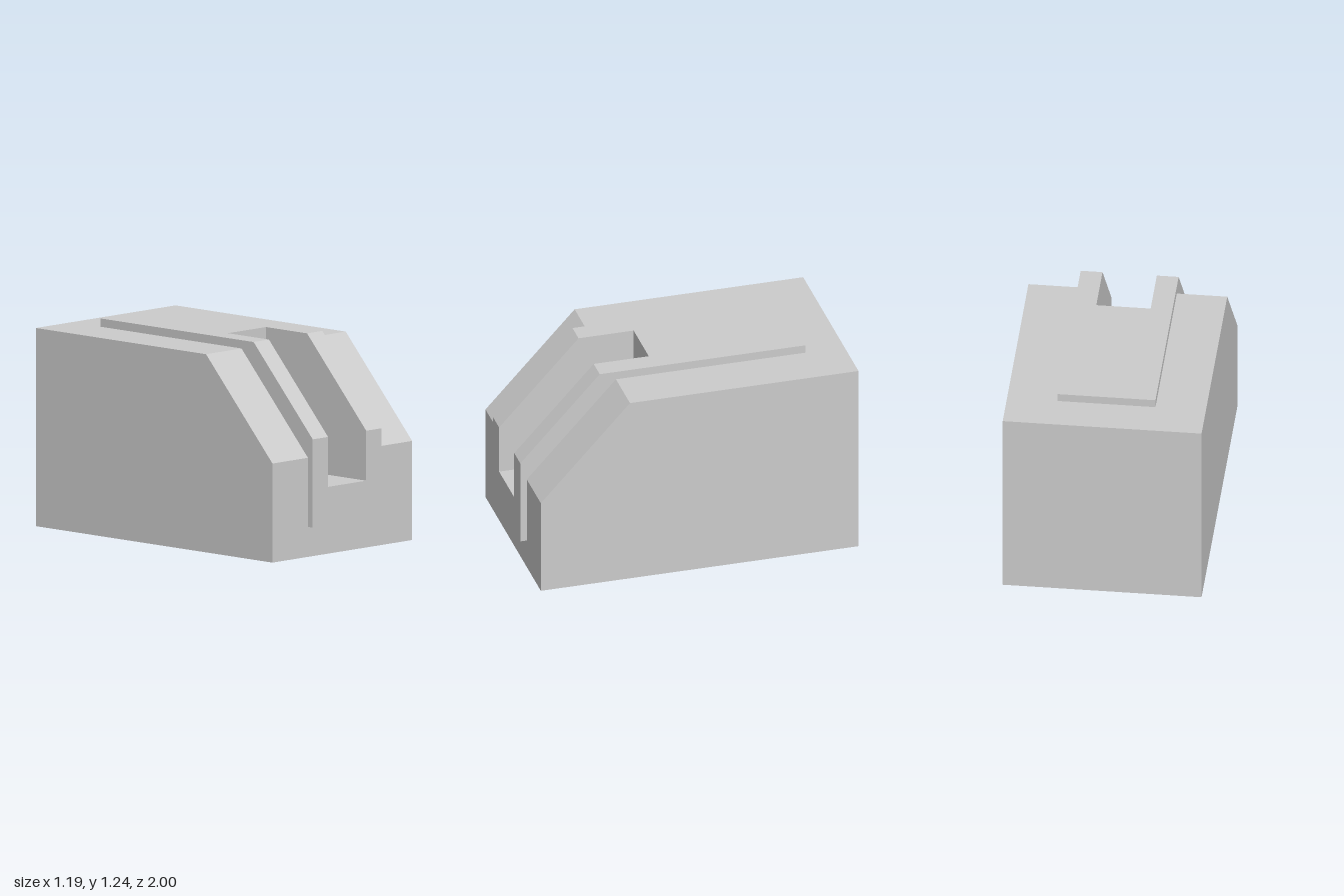
import * as THREE from 'three';

const material = new THREE.MeshStandardMaterial({ color: 0xcccccc, flatShading: true });

// Extrudes a side profile of [z, y] points across x, from x0 to x1
function slab(name, profile, x0, x1) {
  const shape = new THREE.Shape(profile.map(([z, y]) => new THREE.Vector2(-z, y)));
  const geometry = new THREE.ExtrudeGeometry(shape, { depth: x1 - x0, bevelEnabled: false });
  geometry.rotateY(Math.PI / 2).translate(x0, 0, 0);
  const mesh = new THREE.Mesh(geometry, material);
  mesh.name = name;
  return mesh;
}

export function createModel() {
  const model = new THREE.Group();
  model.name = 'slottedBlock';

  const slotX = 0.162, panelX = 0.292, bodyX = 0.593; // half widths
  const back = -1, bodyFront = 0.96, bodyTop = 1.19;
  const panelBack = -0.76, panelFront = 1, panelTop = 1.24, panelBottom = 0.18;
  const slotBack = 0.17, slotFloor = 0.41;

  // Plain block with a sloped front edge
  const bodyProfile = [
    [back, 0], [bodyFront, 0], [bodyFront, 0.595], [0.41, bodyTop], [back, bodyTop],
  ];
  // Block plus the raised panel that wraps over its top, slope and front
  const railProfile = [
    [back, 0], [bodyFront, 0], [bodyFront, panelBottom], [panelFront, panelBottom],
    [panelFront, 0.71], [0.51, panelTop], [panelBack, panelTop], [panelBack, bodyTop], [back, bodyTop],
  ];
  // Same, with the slot cut out of the front
  const slotProfile = [
    [back, 0], [bodyFront, 0], [bodyFront, panelBottom], [panelFront, panelBottom],
    [panelFront, slotFloor], [slotBack, slotFloor], [slotBack, panelTop],
    [panelBack, panelTop], [panelBack, bodyTop], [back, bodyTop],
  ];

  model.add(
    slab('slottedCore', slotProfile, -slotX, slotX),
    slab('leftRail', railProfile, slotX, panelX),
    slab('rightRail', railProfile, -panelX, -slotX),
    slab('leftBody', bodyProfile, panelX, bodyX),
    slab('rightBody', bodyProfile, -bodyX, -panelX),
  );
  return model;
}
